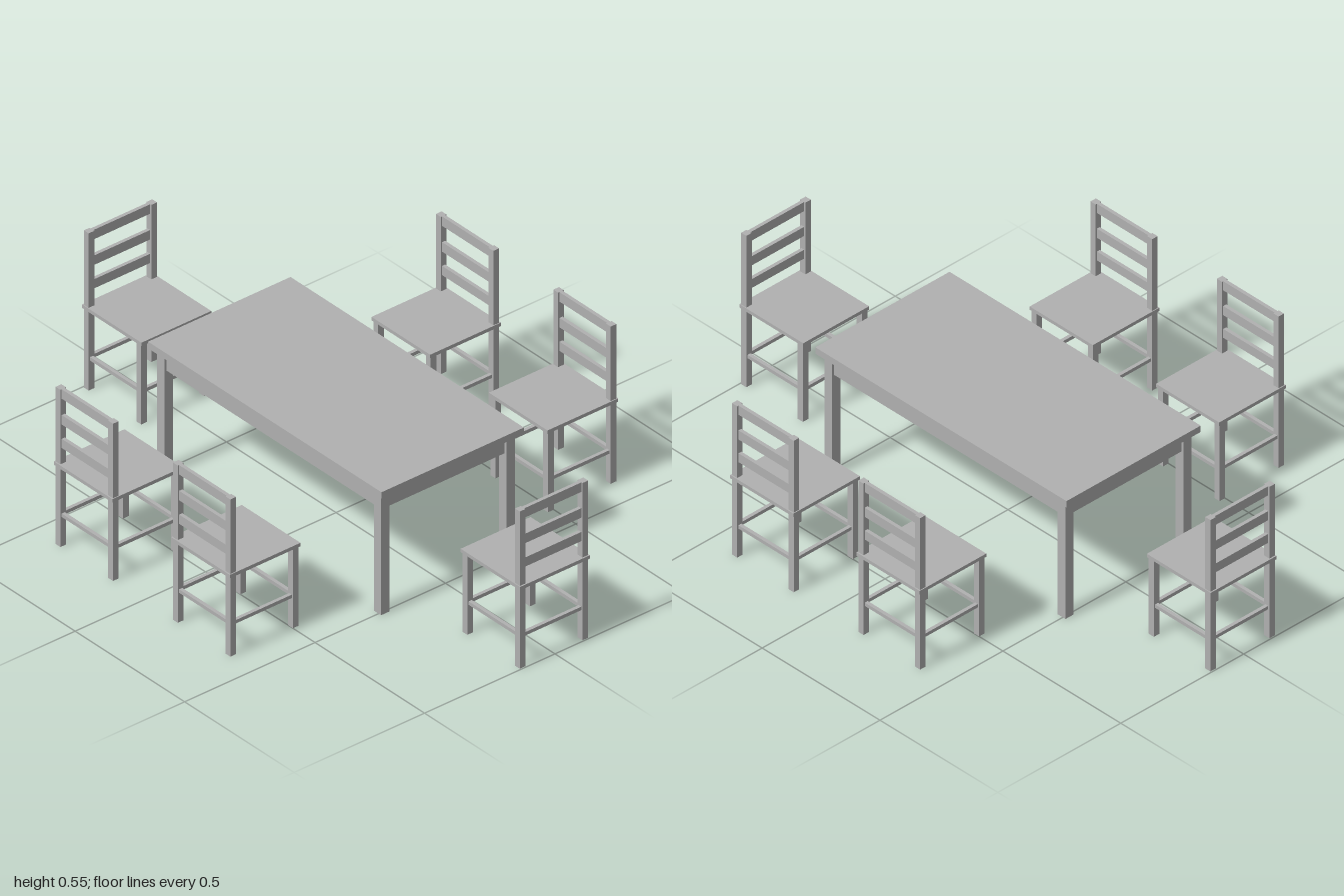
import * as THREE from 'three';

const grey = new THREE.MeshStandardMaterial({ color: 0xb0b0b0 });
grey.name = 'grey';

// Box given by its extents along each axis
function box(parent, name, [x0, x1], [y0, y1], [z0, z1]) {
  const mesh = new THREE.Mesh(new THREE.BoxGeometry(x1 - x0, y1 - y0, z1 - z0), grey);
  mesh.name = name;
  mesh.position.set((x0 + x1) / 2, (y0 + y1) / 2, (z0 + z1) / 2);
  parent.add(mesh);
}
const around = (c, size) => [c - size / 2, c + size / 2];

function createTable() {
  const table = new THREE.Group();
  table.name = 'table';
  const legX = 0.24, legZ = 0.495, leg = 0.033, apron = 0.017;
  const apronY = [0.363, 0.424];
  box(table, 'tableTop', [-0.273, 0.273], [0.424, 0.447], [-0.533, 0.533]);
  for (const s of [-1, 1]) {
    for (const t of [-1, 1]) {
      box(table, 'tableLeg', around(s * legX, leg), [0, 0.424], around(t * legZ, leg));
    }
    // Aprons run between the legs
    box(table, 'sideApron', around(s * legX, apron), apronY, around(0, 2 * legZ - leg));
    box(table, 'endApron', around(0, 2 * legX - leg), apronY, around(s * legZ, apron));
  }
  return table;
}

// Chair centred on its seat, facing +z
function createChair() {
  const chair = new THREE.Group();
  chair.name = 'chair';
  const c = 0.12, post = 0.022, span = 2 * c - post, bar = 0.012;
  const barY = [0.103, 0.115];
  box(chair, 'seat', around(0, 0.268), [0.277, 0.289], around(0, 0.271));
  for (const s of [-1, 1]) {
    box(chair, 'frontLeg', around(s * c, post), [0, 0.277], around(c, post));
    box(chair, 'backPost', around(s * c, post), [0, 0.549], around(-c, post));
    box(chair, 'sideStretcher', around(s * c, bar), barY, around(0, span));
    box(chair, 'crossStretcher', around(0, span), barY, around(s * c, bar));
  }
  for (const y of [[0.516, 0.549], [0.426, 0.459], [0.344, 0.376]]) {
    box(chair, 'backSlat', around(0, span), y, around(-c, bar));
  }
  return chair;
}

export function createModel() {
  const model = new THREE.Group();
  model.name = 'diningSet';
  model.add(createTable());
  // Seat centre x, z and turn, every chair facing the table
  const places = [
    [0, -0.8645, 0], [0, 0.8645, Math.PI],
    [-0.609, -0.268, Math.PI / 2], [-0.609, 0.268, Math.PI / 2],
    [0.609, -0.268, -Math.PI / 2], [0.609, 0.268, -Math.PI / 2],
  ];
  for (const [x, z, turn] of places) {
    const chair = createChair();
    chair.position.set(x, 0, z);
    chair.rotation.y = turn;
    model.add(chair);
  }
  return model;
}
